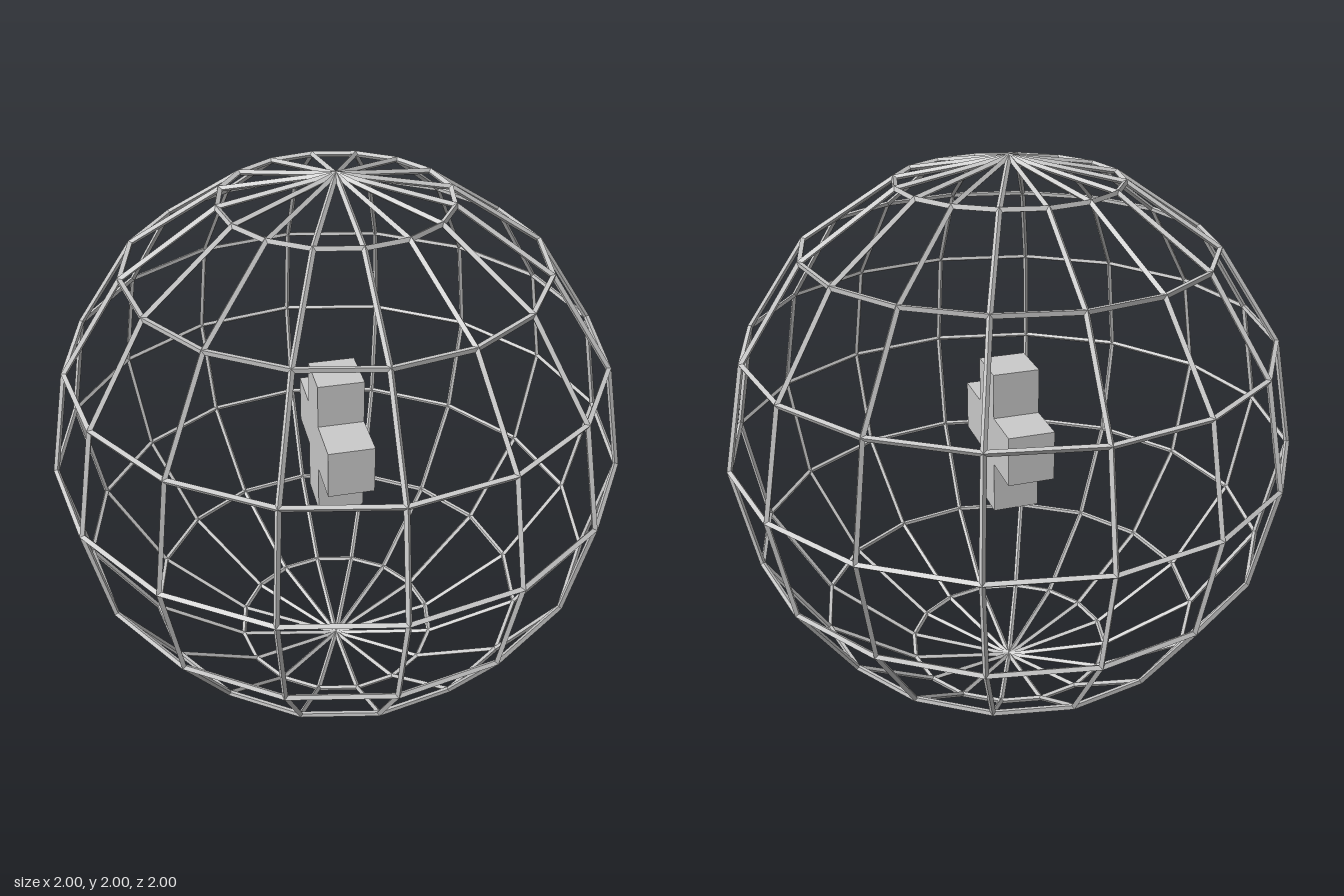
import * as THREE from 'three';

const R = 0.99, H = 0.01;      // cage radius, half thickness of a strut
const SEGMENTS = 16, RINGS = 8;

const grey = () => new THREE.MeshStandardMaterial({ color: 0xcccccc, flatShading: true });

// Point on the cage sphere: ring 0 is the top pole
function spherePoint(ring, seg) {
  const phi = ring * Math.PI / RINGS, theta = seg * 2 * Math.PI / SEGMENTS;
  return new THREE.Vector3(
    Math.sin(phi) * Math.sin(theta), Math.cos(phi), Math.sin(phi) * Math.cos(theta)
  ).multiplyScalar(R);
}

// Wire cage: each sphere panel becomes a frame whose struts have a diamond section
function cageGeometry() {
  const positions = [];
  const quad = (a, b, c, d) => {
    for (const p of [a, b, c, a, c, d]) positions.push(p.x, p.y, p.z);
  };
  const radial = (p, offset) => p.clone().setLength(R + offset);

  // Panel corner moved inwards by H from both of its edges
  const inset = (corners, i) => {
    const n = corners.length, p = corners[i];
    const u = corners[(i + 1) % n].clone().sub(p).normalize();
    const v = corners[(i + n - 1) % n].clone().sub(p).normalize();
    return u.clone().add(v).multiplyScalar(H / Math.sin(u.angleTo(v))).add(p);
  };

  for (let r = 0; r < RINGS; r++) {
    for (let s = 0; s < SEGMENTS; s++) {
      const corners = [spherePoint(r, s), spherePoint(r + 1, s)];
      if (r < RINGS - 1) corners.push(spherePoint(r + 1, s + 1));
      if (r > 0) corners.push(spherePoint(r, s + 1));
      corners.forEach((a, i) => {
        const j = (i + 1) % corners.length, b = corners[j];
        const ia = inset(corners, i), ib = inset(corners, j);
        quad(radial(a, H), radial(b, H), ib, ia);      // outer face
        quad(radial(a, -H), ia, ib, radial(b, -H));    // inner face
      });
    }
  }
  const geometry = new THREE.BufferGeometry();
  geometry.setAttribute('position', new THREE.Float32BufferAttribute(positions, 3));
  geometry.computeVertexNormals();
  return geometry;
}

// Solid cross: upright post with a crossbar running front to back
function crossGeometry() {
  const post = 0.083, arm = 0.25, top = 0.267, armTop = 0.103, armBottom = -0.078;
  const half = [[post, -top], [post, armBottom], [arm, armBottom], [arm, armTop], [post, armTop], [post, top]];
  const mirrored = half.map(([x, y]) => [-x, y]).reverse();
  const shape = new THREE.Shape([...half, ...mirrored].map(([x, y]) => new THREE.Vector2(x, y)));
  return new THREE.ExtrudeGeometry(shape, { depth: 2 * post, bevelEnabled: false })
    .translate(0, 0, -post)
    .rotateY(Math.PI / 2);
}

export function createModel() {
  const model = new THREE.Group();
  model.name = 'cagedCross';

  const cage = new THREE.Mesh(cageGeometry(), grey());
  cage.name = 'wireCage';
  const cross = new THREE.Mesh(crossGeometry(), grey());
  cross.name = 'cross';

  for (const part of [cage, cross]) {
    part.position.y = 1;
    model.add(part);
  }
  return model;
}
